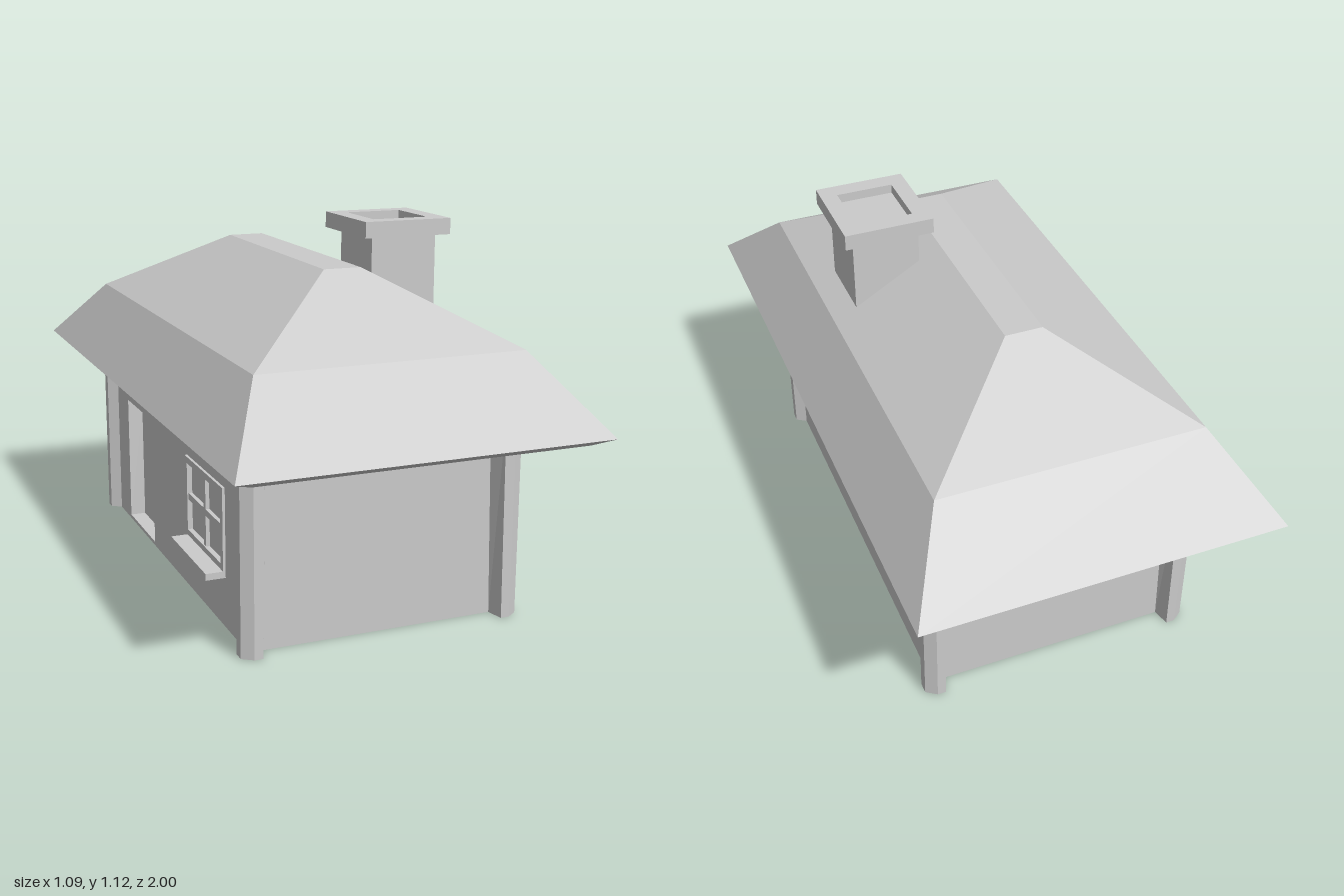
import * as THREE from 'three';

const material = new THREE.MeshStandardMaterial({ color: 0xcccccc, flatShading: true, side: THREE.DoubleSide });

function add(parent, name, geometry) {
  const mesh = new THREE.Mesh(geometry, material);
  mesh.name = name;
  parent.add(mesh);
  return mesh;
}

// Box given by its extents on each axis
function box(parent, name, [x0, x1], [y0, y1], [z0, z1]) {
  const geometry = new THREE.BoxGeometry(x1 - x0, y1 - y0, z1 - z0);
  geometry.translate((x0 + x1) / 2, (y0 + y1) / 2, (z0 + z1) / 2);
  return add(parent, name, geometry);
}

// Rectangular ring, counterclockwise seen from above
const rect = (y, x0, x1, z0, z1) => [[x1, y, z1], [x1, y, z0], [x0, y, z0], [x0, y, z1]];

// Flat-faced skin through rings listed from the top surface down, open below, optionally closed on top
function loft(rings, closedTop) {
  const pos = [];
  const tri = (...points) => points.forEach((p) => pos.push(...p));
  const n = rings[0].length;
  for (let r = 0; r < rings.length - 1; r++) {
    const a = rings[r], b = rings[r + 1];
    for (let i = 0; i < n; i++) {
      const j = (i + 1) % n;
      tri(b[i], b[j], a[j]);
      tri(b[i], a[j], a[i]);
    }
  }
  const top = rings[0];
  for (let i = 1; closedTop && i < n - 1; i++) tri(top[0], top[i], top[i + 1]);
  const geometry = new THREE.BufferGeometry();
  geometry.setAttribute('position', new THREE.Float32BufferAttribute(pos, 3));
  geometry.computeVertexNormals();
  return geometry;
}

// Chamfered post section: x0 and z0 are its inner limits, c the width of the inner chamfer
function postRing(y, x0, c, z0, sx, sz) {
  const ring = [
    [0.427, 0.705], [0.427, 0.672], [0.395, 0.65], [0.39, z0],
    [x0, 0.675], [x0 + c, 0.727], [0.395, 0.727],
  ].map(([x, z]) => [x * sx, y, z * sz]);
  return sx * sz < 0 ? ring.reverse() : ring;
}

export function createModel() {
  const house = new THREE.Group();
  house.name = 'house';
  const W = 0.395, D = 0.675, H = 0.612;
  const door = { z0: -0.52, z1: -0.225, top: 0.43 };
  const win = { z0: 0.15, z1: 0.495, y0: 0.17, y1: 0.42 };

  // Plain walls
  for (const s of [1, -1]) {
    const wall = add(house, s > 0 ? 'frontWall' : 'backWall', new THREE.PlaneGeometry(2 * W, H));
    wall.position.set(0, H / 2, s * D);
    if (s < 0) wall.rotation.y = Math.PI;
  }
  const leftWall = add(house, 'leftWall', new THREE.PlaneGeometry(2 * D, H));
  leftWall.position.set(W, H / 2, 0);
  leftWall.rotation.y = Math.PI / 2;

  // Wall with the doorway notch and the window hole
  const outline = new THREE.Shape([
    [-D, 0], [door.z0, 0], [door.z0, door.top], [door.z1, door.top],
    [door.z1, 0], [D, 0], [D, H], [-D, H],
  ].map(([z, y]) => new THREE.Vector2(z, y)));
  outline.holes.push(new THREE.Path([
    [win.z0, win.y0], [win.z0, win.y1], [win.z1, win.y1], [win.z1, win.y0],
  ].map(([z, y]) => new THREE.Vector2(z, y))));
  const rightWall = add(house, 'rightWall', new THREE.ShapeGeometry(outline));
  rightWall.rotation.y = -Math.PI / 2;
  rightWall.position.x = -W;

  // Recessed door
  const entry = new THREE.Group();
  entry.name = 'doorway';
  house.add(entry);
  const reveal = [-W, -W + 0.055];
  box(entry, 'doorPanel', [-W + 0.05, -W + 0.055], [0, door.top], [door.z0, door.z1]);
  box(entry, 'doorJamb', reveal, [0, door.top], [door.z0 - 0.004, door.z0]);
  box(entry, 'doorJamb', reveal, [0, door.top], [door.z1, door.z1 + 0.004]);
  box(entry, 'doorLintel', reveal, [door.top, door.top + 0.004], [door.z0, door.z1]);
  box(entry, 'threshold', reveal, [0, 0.012], [door.z0, door.z1]);

  // Window with frame, glazing bars and sill
  const windowGroup = new THREE.Group();
  windowGroup.name = 'window';
  house.add(windowGroup);
  const f = 0.02, frameX = [-W - 0.008, -W + 0.014], barX = [-W - 0.004, -W + 0.012];
  const zMid = (win.z0 + win.z1) / 2, yMid = (win.y0 + win.y1) / 2;
  for (const z of [win.z0, win.z1 - f]) box(windowGroup, 'windowStile', frameX, [win.y0, win.y1], [z, z + f]);
  for (const y of [win.y0, win.y1 - f]) box(windowGroup, 'windowRail', frameX, [y, y + f], [win.z0 + f, win.z1 - f]);
  box(windowGroup, 'verticalBar', barX, [win.y0 + f, win.y1 - f], [zMid - 0.01, zMid + 0.01]);
  box(windowGroup, 'horizontalBar', barX, [yMid - 0.01, yMid + 0.01], [win.z0 + f, win.z1 - f]);
  box(windowGroup, 'windowPane', [-W + 0.008, -W + 0.012], [win.y0 + f, win.y1 - f], [win.z0 + f, win.z1 - f]);
  box(windowGroup, 'windowSill', [-0.455, -W], [0.152, 0.172], [win.z0 + 0.015, win.z1]);

  // Tapered, open-ended corner posts
  for (const sx of [1, -1]) {
    for (const sz of [1, -1]) {
      add(house, 'cornerPost', loft([
        postRing(H, 0.342, 0.02, 0.61, sx, sz),
        postRing(0, 0.357, 0.012, 0.64, sx, sz),
      ], false));
    }
  }

  // Hollow two-pitch hipped roof: outer skin, eave lip and a soffit running in to the walls
  add(house, 'roof', loft([
    [1, 0.057, 0.4], [0.8, 0.402, 0.75], [0.595, 0.543, 1],
    [0.573, 0.485, 0.96], [H, W, D],
  ].map(([y, x, z]) => rect(y, -x, x, -z, z)), true));

  // Chimney: flue recess, cap slab and shaft
  add(house, 'chimney', loft([
    rect(1.095, 0.14, 0.314, 0.12, 0.308),
    rect(1.123, 0.14, 0.314, 0.12, 0.308),
    rect(1.123, 0.09, 0.365, 0.07, 0.362),
    rect(1.075, 0.09, 0.365, 0.07, 0.362),
    rect(1.075, 0.125, 0.332, 0.11, 0.33),
    rect(0.82, 0.125, 0.332, 0.11, 0.33),
  ], true));

  return house;
}
